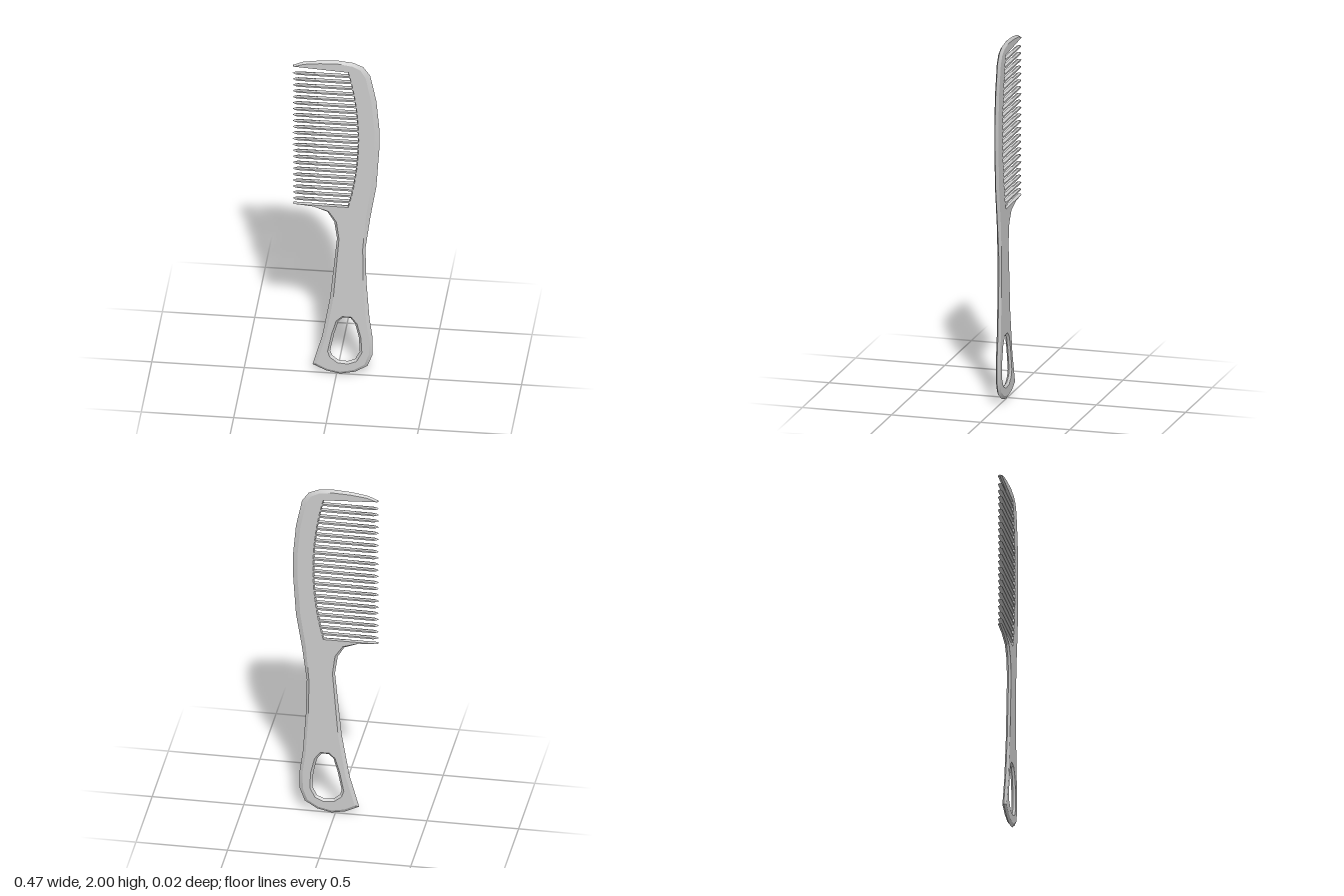
import * as THREE from 'three';
import { toCreasedNormals } from 'three/addons/utils/BufferGeometryUtils.js';

const H = 0.0115; // half thickness

// Clockwise rings of [x, y, inset]: each is a sharp mid edge, chamfered in towards both faces.
function chamferedPlate(outline, hole) {
  const tris = [];
  const inset = (ring, sign) => ring.map(([x, y, w], i) => {
    const p = ring[(i + ring.length - 1) % ring.length];
    const n = ring[(i + 1) % ring.length];
    const d1 = new THREE.Vector2(x - p[0], y - p[1]).normalize();
    const d2 = new THREE.Vector2(n[0] - x, n[1] - y).normalize();
    const a = new THREE.Vector2(d1.y + d2.y, -d1.x - d2.x).normalize();
    return new THREE.Vector2(x + a.x * w * sign, y + a.y * w * sign);
  });
  const rim = (ring, inner, flip) => ring.forEach((r, i) => {
    const j = (i + 1) % ring.length;
    const A = [r[0], r[1], 0], B = [ring[j][0], ring[j][1], 0];
    const a = [inner[i].x, inner[i].y, H], b = [inner[j].x, inner[j].y, H];
    tris.push(...(flip ? [[A, B, a], [B, b, a]] : [[A, a, B], [B, a, b]]));
  });

  const face = inset(outline, 1);
  const shape = new THREE.Shape(face);
  rim(outline, face, false);
  if (hole) {
    const edge = inset(hole, -1);
    shape.holes.push(new THREE.Path(edge));
    rim(hole, edge, true);
  }
  const cap = new THREE.ShapeGeometry(shape).toNonIndexed().attributes.position;
  for (let i = 0; i < cap.count; i += 3) {
    tris.push([0, 1, 2].map((k) => [cap.getX(i + k), cap.getY(i + k), H]));
  }
  // Back half mirrors the front half
  const back = tris.map((t) => [t[0], t[2], t[1]].map(([x, y, z]) => [x, y, -z]));
  const g = new THREE.BufferGeometry();
  g.setAttribute('position', new THREE.Float32BufferAttribute([...tris, ...back].flat(2), 3));
  return toCreasedNormals(g, 0.35);
}

// Bowed inner edge from which the teeth grow
const spineEdge = (y) => 0.115 - 0.055 * ((y - 1.505) / 0.43) ** 2;

export function createModel() {
  const group = new THREE.Group();
  const material = new THREE.MeshStandardMaterial({ color: 0xcccccc });
  const add = (name, geometry) => {
    const mesh = new THREE.Mesh(geometry, material);
    mesh.name = name;
    group.add(mesh);
  };

  // Spine, end guards and handle in one outline
  const outline = [
    [-0.236, 1.956, 0.008], [-0.18, 1.98, 0.01], [-0.09, 1.994, 0.013], [0.01, 2, 0.015],
    [0.09, 1.992, 0.018], [0.145, 1.968, 0.022], [0.182, 1.915, 0.026], [0.215, 1.757, 0.026],
    [0.231, 1.58, 0.026], [0.231, 1.45, 0.026], [0.215, 1.21, 0.026], [0.183, 1.015, 0.024],
    [0.156, 0.81, 0.014], [0.161, 0.6, 0.016], [0.178, 0.36, 0.018], [0.195, 0.24, 0.018],
    [0.195, 0.135, 0.02], [0.167, 0.06, 0.02], [0.1, 0.018, 0.018], [0.02, 0, 0.018],
    [-0.055, 0.014, 0.018], [-0.13, 0.05, 0.024], [-0.077, 0.24, 0.02], [-0.035, 0.485, 0.018],
    [-0.013, 0.707, 0.014], [0.002, 0.866, 0.012], [-0.013, 0.97, 0.014], [-0.05, 1.03, 0.012],
    [-0.13, 1.06, 0.006], [-0.236, 1.071, 0.006], [-0.236, 1.077, 0.004],
  ];
  for (let i = 0; i <= 12; i++) {
    const y = 1.077 + (i / 12) * 0.853;
    outline.push([spineEdge(y), y, 0.006]);
  }
  outline.push([-0.236, 1.948, 0.006]);

  // Hanging hole in the handle
  const hole = [
    [0.01, 0.335], [0.035, 0.36], [0.075, 0.36], [0.1, 0.325], [0.12, 0.24], [0.125, 0.15],
    [0.1, 0.1], [0.06, 0.083], [0.01, 0.087], [-0.025, 0.115], [-0.035, 0.145], [-0.013, 0.255],
  ].map(([x, y]) => [x, y, 0.013]);
  add('combBody', chamferedPlate(outline, hole));

  // Pointed teeth, rooted slightly inside the spine
  for (let i = 0; i < 22; i++) {
    const y = 1.105 + i * 0.0381, root = spineEdge(y) + 0.012, h = 0.008;
    add('tooth', chamferedPlate([
      [-0.238, y, 0.012], [-0.21, y + h, 0.004], [root, y + h, 0.004],
      [root, y - h, 0.004], [-0.21, y - h, 0.004],
    ]));
  }
  return group;
}
